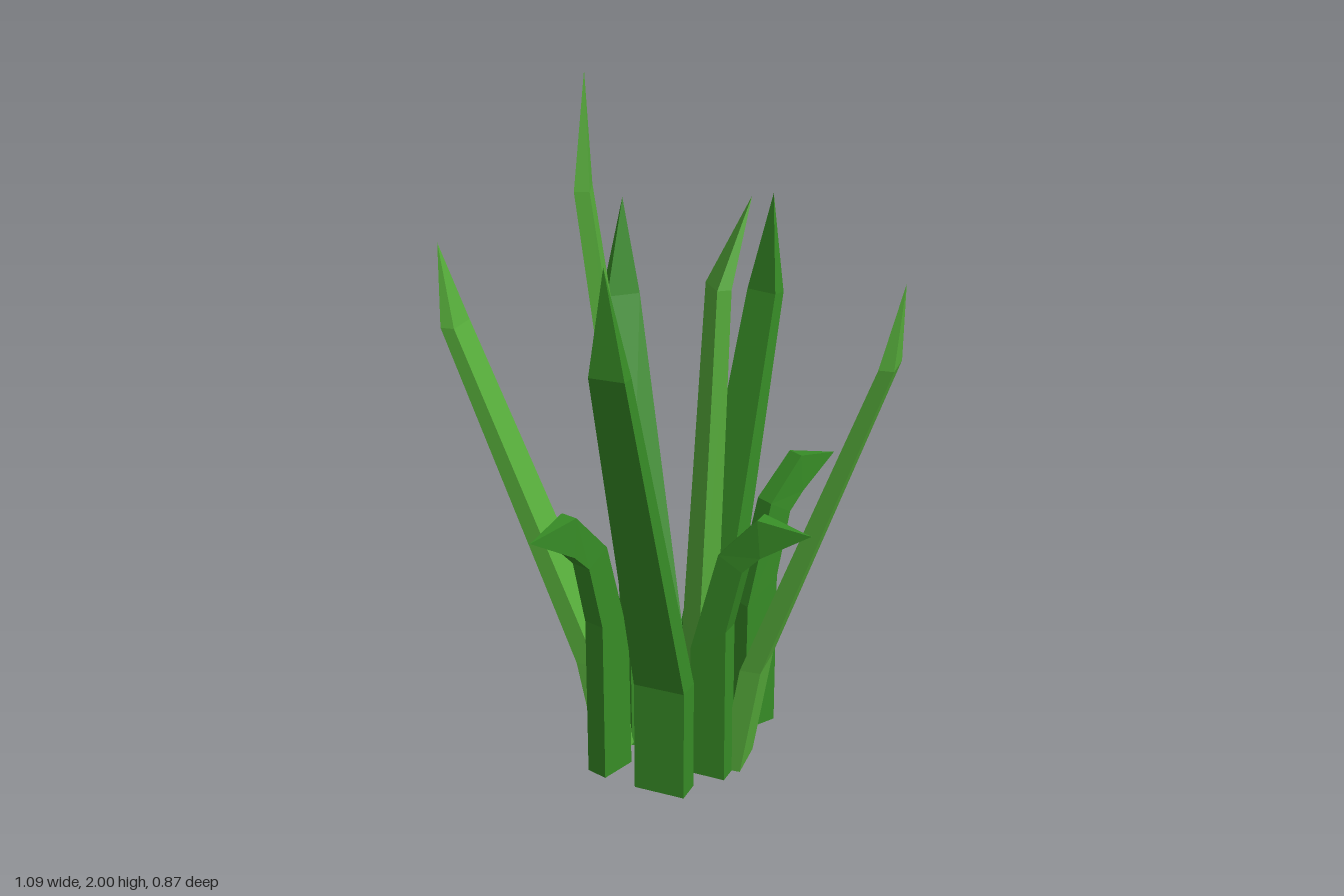
import * as THREE from 'three';

// Skin a stack of four-cornered rings, closed at the bottom and drawn to a point.
function loft(rings, tip) {
  const pos = [];
  const tri = (...pts) => pts.forEach((p) => pos.push(...p));
  const [a, b, c, d] = rings[0];
  tri(a, c, b);
  tri(a, d, c);
  rings.forEach((ring, i) => {
    const next = rings[i + 1];
    for (let k = 0; k < 4; k++) {
      const j = (k + 1) % 4;
      if (next) {
        tri(ring[k], ring[j], next[j]);
        tri(ring[k], next[j], next[k]);
      } else {
        tri(ring[k], ring[j], tip);
      }
    }
  });
  const geo = new THREE.BufferGeometry();
  geo.setAttribute('position', new THREE.Float32BufferAttribute(pos, 3));
  geo.computeVertexNormals();
  return geo;
}

// One ring: inner and outer [radius, height] across direction (dx, dz), with a half width.
function makeRing(cx, cz, dx, dz, inner, outer, half) {
  const point = ([r, y], s) => [cx + dx * r - dz * s, y, cz + dz * r + dx * s];
  return [point(inner, -half), point(inner, half), point(outer, half), point(outer, -half)];
}

// Tall blade: base, bend and shoulder centres as [x, y, z], then the point.
function tallBlade({ dir, base, bend, top, tip, width = 0.075, thick = 0.035 }) {
  const n = Math.hypot(...dir);
  const sizes = [[width, thick], [width, thick], [0.049, 0.02]];
  const rings = [base, bend, top].map(([x, y, z], i) => {
    const [w, t] = sizes[i];
    return makeRing(x, z, dir[0] / n, dir[1] / n, [-t, y], [t, y], w);
  });
  return loft(rings, tip);
}

// Short blade curling outwards: inner profile, outer profile and half width per ring.
const CURL = [
  [[-0.055, 0], [0.055, 0], 0.032],
  [[-0.05, 0.4], [0.055, 0.47], 0.032],
  [[0.03, 0.7], [0.1, 0.66], 0.03],
  [[0.14, 0.82], [0.15, 0.71], 0.026],
];
function curledBlade({ dir, at: [x, y, z] }) {
  const n = Math.hypot(...dir);
  const dx = dir[0] / n, dz = dir[1] / n;
  const rings = CURL.map(([p, q, w]) =>
    makeRing(x, z, dx, dz, [p[0], p[1] + y], [q[0], q[1] + y], w));
  return loft(rings, [x + dx * 0.285, y + 0.79, z + dz * 0.285]);
}

export function createModel() {
  const group = new THREE.Group();
  group.name = 'grassTuft';
  const material = (name, color) => {
    const m = new THREE.MeshStandardMaterial({ color });
    m.name = name;
    return m;
  };
  const deepGreen = material('deepGreen', 0x378c26);
  const lightGreen = material('lightGreen', 0x58b03c);
  const add = (name, geo, mat) => {
    const mesh = new THREE.Mesh(geo, mat);
    mesh.name = name;
    group.add(mesh);
  };

  // Deep green tall blades
  add('backBlade', tallBlade({ dir: [0, -1], base: [-0.025, 0.03, -0.155],
    bend: [-0.025, 0.35, -0.16], top: [-0.015, 1.32, -0.41], tip: [0, 1.59, -0.43], width: 0.083 }), deepGreen);
  add('backLeftBlade', tallBlade({ dir: [0.88, -0.47], base: [0.155, 0.02, -0.17],
    bend: [0.157, 0.35, -0.172], top: [0.375, 1.32, -0.28], tip: [0.39, 1.6, -0.27] }), deepGreen);
  add('frontRightBlade', tallBlade({ dir: [-0.72, 0.69], base: [-0.1, 0.02, 0.105],
    bend: [-0.1, 0.35, 0.107], top: [-0.305, 1.32, 0.268], tip: [-0.32, 1.6, 0.275] }), deepGreen);

  // Light green tall blades
  add('frontLeftBlade', tallBlade({ dir: [0.75, 0.66], base: [0.15, 0.02, 0.05],
    bend: [0.19, 0.35, 0.09], top: [0.4, 1.3, 0.395], tip: [0.415, 1.52, 0.43], width: 0.066, thick: 0.03 }), lightGreen);
  add('backRightBlade', tallBlade({ dir: [-0.75, -0.66], base: [-0.165, 0.04, -0.095],
    bend: [-0.215, 0.35, -0.13], top: [-0.51, 1.3, -0.375], tip: [-0.54, 1.52, -0.405], width: 0.066, thick: 0.03 }), lightGreen);
  add('tallestBlade', tallBlade({ dir: [-0.91, -0.41], base: [-0.05, 0, -0.022],
    bend: [-0.07, 0.37, -0.03], top: [-0.225, 1.7, -0.12], tip: [-0.22, 2, -0.11], width: 0.09, thick: 0.03 }), lightGreen);
  add('innerBlade', tallBlade({ dir: [1, 0.1], base: [0.07, 0.03, -0.06],
    bend: [0.08, 0.4, -0.06], top: [0.125, 1.42, -0.05], tip: [0.21, 1.66, -0.03], thick: 0.027 }), lightGreen);

  // Short curled blades
  add('leftCurl', curledBlade({ dir: [0.28, -0.065], at: [0.25, 0.07, -0.055] }), deepGreen);
  add('rightCurl', curledBlade({ dir: [-0.89, 0.45], at: [-0.23, 0.07, 0.02] }), deepGreen);
  add('frontCurl', curledBlade({ dir: [0.68, 0.74], at: [0.055, 0.02, 0.08] }), deepGreen);

  return group;
}
